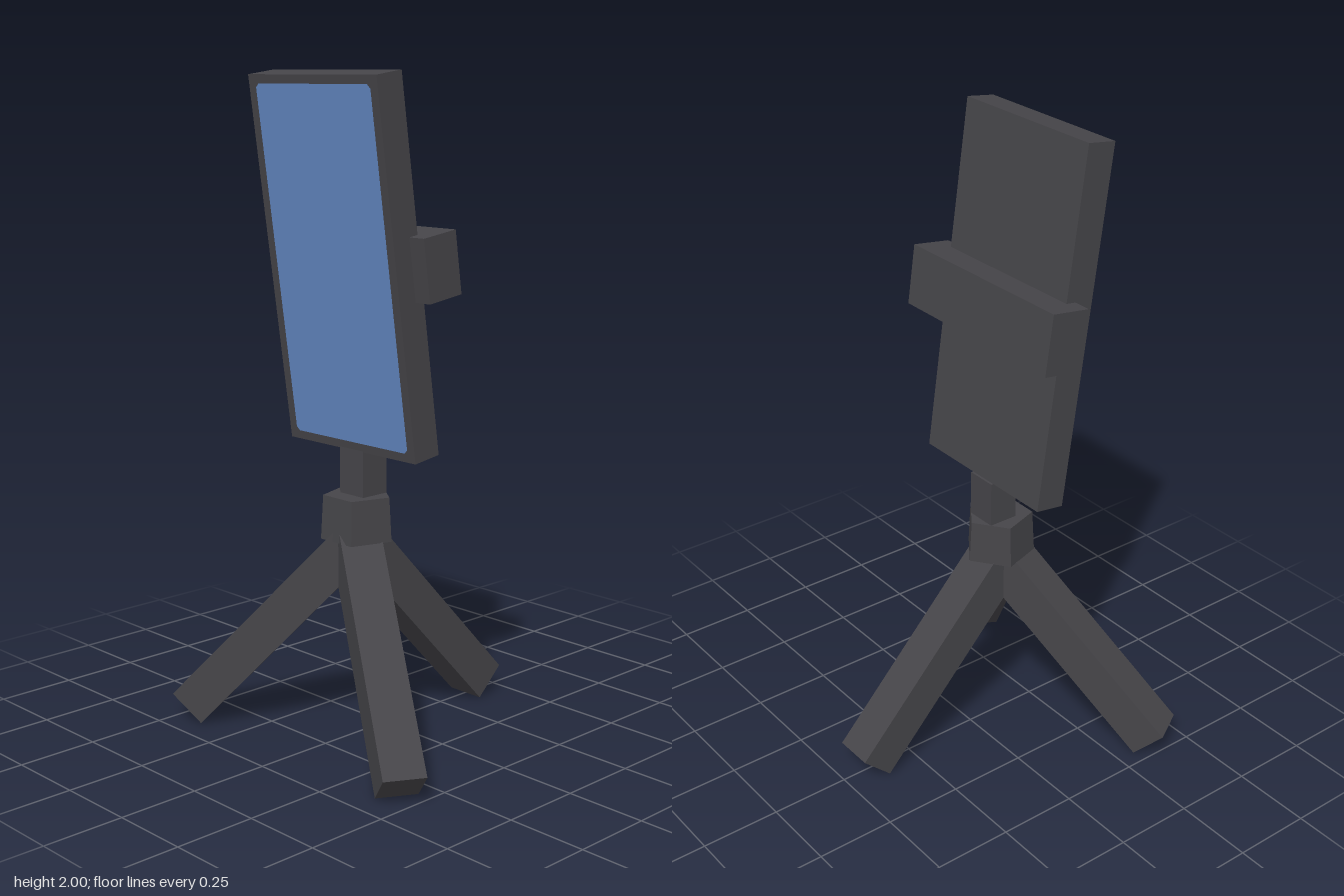
import * as THREE from 'three';

const dark = new THREE.MeshStandardMaterial({ color: 0x464549, side: THREE.DoubleSide, flatShading: true });
dark.name = 'charcoal';
const blue = new THREE.MeshStandardMaterial({ color: 0x6489c4, side: THREE.DoubleSide });
blue.name = 'screenBlue';

const TILT = THREE.MathUtils.degToRad(8);

function add(parent, name, geometry, material, x = 0, y = 0, z = 0) {
  const mesh = new THREE.Mesh(geometry, material);
  mesh.name = name;
  mesh.position.set(x, y, z);
  parent.add(mesh);
  return mesh;
}

// Rectangle with small cut corners
function cutRect(w, h, c) {
  const x = w / 2, y = h / 2;
  return [
    [-x + c, -y], [x - c, -y], [x, -y + c], [x, y - c],
    [x - c, y], [-x + c, y], [-x, y - c], [-x, -y + c],
  ].map(([a, b]) => new THREE.Vector2(a, b));
}

function createPhone() {
  const W = 0.536, H = 1.106, D = 0.096;
  const phone = new THREE.Group();
  phone.name = 'phone';

  // Hollow shell: sides, top and back, open at the bottom and front
  const shell = new THREE.BoxGeometry(W, H, D);
  const index = Array.from(shell.index.array);
  shell.setIndex([0, 1, 2, 5].flatMap((f) => index.slice(f * 6, f * 6 + 6)));
  shell.clearGroups();
  add(phone, 'phoneShell', shell, dark);

  // Bezel with the screen set flush in its opening
  const opening = cutRect(0.478, 1.054, 0.012);
  const bezel = new THREE.Shape(cutRect(W, H, 0));
  bezel.holes.push(new THREE.Path([...opening].reverse()));
  add(phone, 'bezel', new THREE.ShapeGeometry(bezel), dark, 0, 0, D / 2);
  add(phone, 'screen', new THREE.ShapeGeometry(new THREE.Shape(opening)), blue, 0, 0, D / 2);

  phone.position.set(0, 1.4475, 0.167);
  phone.rotation.x = TILT;
  return phone;
}

// One leg leaning outward along local -z, rotated about the hub axis
function createLeg(name, angle) {
  const lean = THREE.MathUtils.degToRad(43.3);
  const size = 0.127, length = 0.78;
  const leg = new THREE.Group();
  leg.name = name;
  const bar = add(leg, name + 'Bar', new THREE.BoxGeometry(size, length, size), dark);
  bar.rotation.x = lean;
  bar.position.set(0, 0.044 + (Math.cos(lean) * length) / 2, -Math.sin(lean) * length / 2);
  leg.position.z = 0.12;
  leg.rotation.y = angle;
  return leg;
}

export function createModel() {
  const model = new THREE.Group();
  model.name = 'phoneTripod';

  model.add(createPhone());

  // Clamp bar across the back of the phone
  const clamp = add(model, 'clamp', new THREE.BoxGeometry(0.65, 0.187, 0.128), dark, 0, 1.461, 0.089);
  clamp.rotation.x = TILT;

  // Stem and five-sided hub
  add(model, 'stem', new THREE.BoxGeometry(0.1, 0.24, 0.096), dark, 0, 0.78, 0.09);
  const hub = add(model, 'hub', new THREE.CylinderGeometry(0.1056, 0.113, 0.135, 5), dark, 0, 0.6875, 0.111);
  hub.rotation.y = Math.PI;

  // Three legs at 120 degrees, one to the rear
  ['rearLeg', 'rightLeg', 'leftLeg'].forEach((name, i) => {
    model.add(createLeg(name, (i * Math.PI * 2) / 3));
  });

  return model;
}
